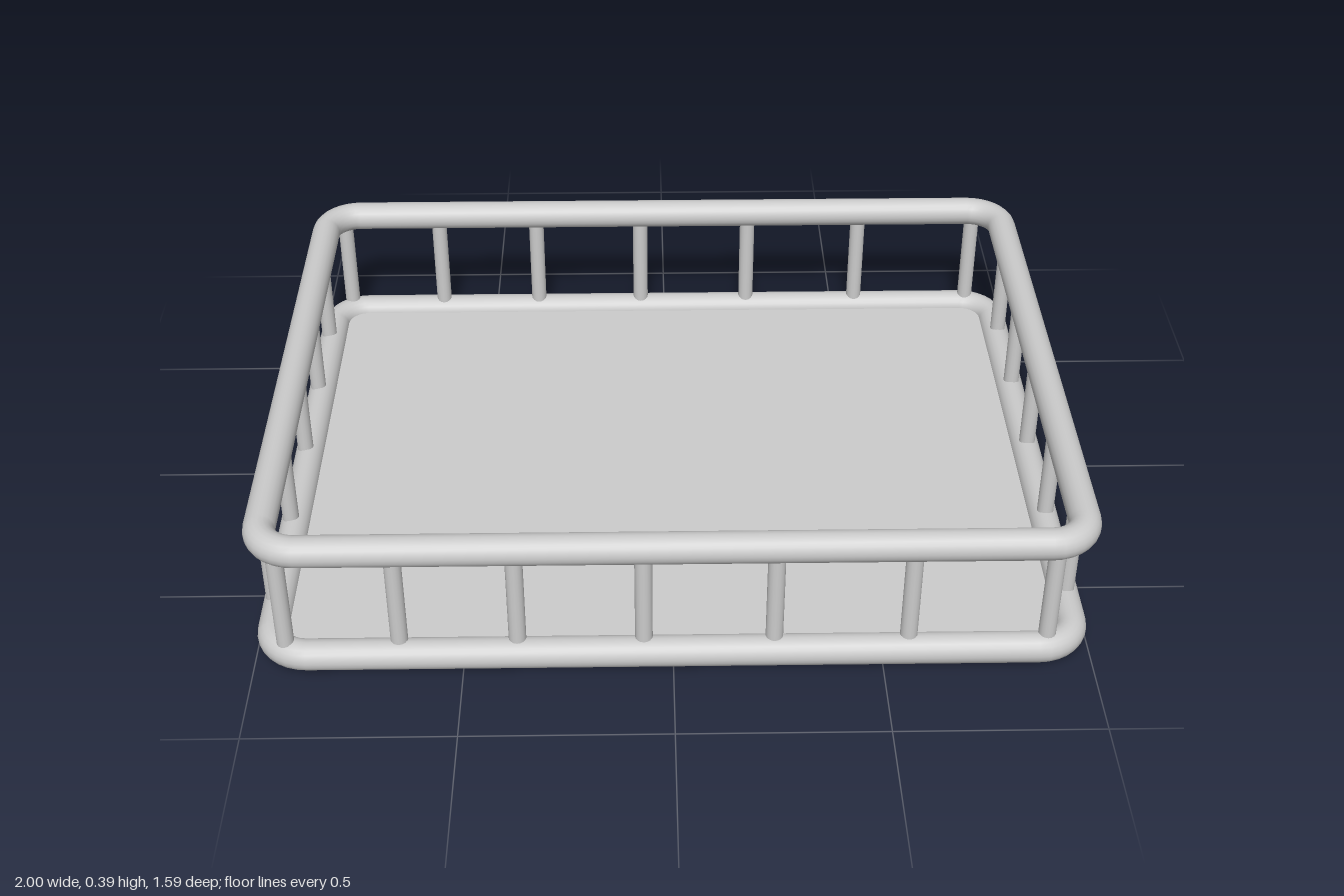
import * as THREE from 'three';

const HALF_X = 0.962, HALF_Z = 0.758, CORNER = 0.09;
const RAIL_R = 0.038, LOW_Y = 0.038, HIGH_Y = 0.354, POST_R = 0.021;

const material = new THREE.MeshStandardMaterial({ color: 0xcccccc });

// Rounded-rectangle centre line: points with their outward angle
function railPath(steps = 8) {
  const path = [];
  const corners = [[1, 1], [-1, 1], [-1, -1], [1, -1]];
  corners.forEach(([sx, sz], c) => {
    for (let i = 0; i <= steps; i++) {
      const a = (c + i / steps) * Math.PI / 2;
      path.push({
        a,
        x: sx * (HALF_X - CORNER) + CORNER * Math.cos(a),
        z: sz * (HALF_Z - CORNER) + CORNER * Math.sin(a),
      });
    }
  });
  return path;
}

// Closed round tube swept along the centre line
function railGeometry(path, sides = 20) {
  const pos = [], index = [], n = path.length;
  path.forEach(({ a, x, z }, i) => {
    for (let j = 0; j < sides; j++) {
      const t = j / sides * Math.PI * 2;
      const out = RAIL_R * Math.cos(t);
      pos.push(x + out * Math.cos(a), RAIL_R * Math.sin(t), z + out * Math.sin(a));
      const k = (j + 1) % sides, next = ((i + 1) % n) * sides;
      const p = i * sides + j, q = i * sides + k;
      index.push(p, q, next + j, q, next + k, next + j);
    }
  });
  const g = new THREE.BufferGeometry();
  g.setAttribute('position', new THREE.Float32BufferAttribute(pos, 3));
  g.setIndex(index);
  g.computeVertexNormals();
  return g;
}

export function createModel() {
  const model = new THREE.Group();
  const add = (geometry, name, x, y, z) => {
    const mesh = new THREE.Mesh(geometry, material);
    mesh.name = name;
    mesh.position.set(x, y, z);
    model.add(mesh);
    return mesh;
  };

  // Top and bottom rails
  const path = railPath();
  const rail = railGeometry(path);
  add(rail, 'bottomRail', 0, LOW_Y, 0);
  add(rail, 'topRail', 0, HIGH_Y, 0);

  // Thin floor panel, its edge buried in the bottom rail
  const outline = new THREE.Shape(path.map(p => new THREE.Vector2(p.x, p.z)));
  const floor = new THREE.ExtrudeGeometry(outline, { depth: 0.012, bevelEnabled: false });
  floor.rotateX(-Math.PI / 2);
  add(floor, 'floor', 0, LOW_Y - 0.006, 0);

  // Upright posts between the rails
  const post = new THREE.CylinderGeometry(POST_R, POST_R, HIGH_Y - LOW_Y - 0.06, 16);
  const midY = (LOW_Y + HIGH_Y) / 2;
  for (const x of [-0.92, -0.65, -0.37, -0.07, 0.24, 0.56, 0.89]) {
    add(post, 'frontPost', x, midY, 0.748);
    add(post, 'backPost', x, midY, -0.757);
  }
  for (const z of [0.58, 0.275, -0.025, -0.31, -0.575]) {
    add(post, 'leftPost', 0.963, midY, z);
    add(post, 'rightPost', -0.969, midY, z);
  }
  return model;
}
